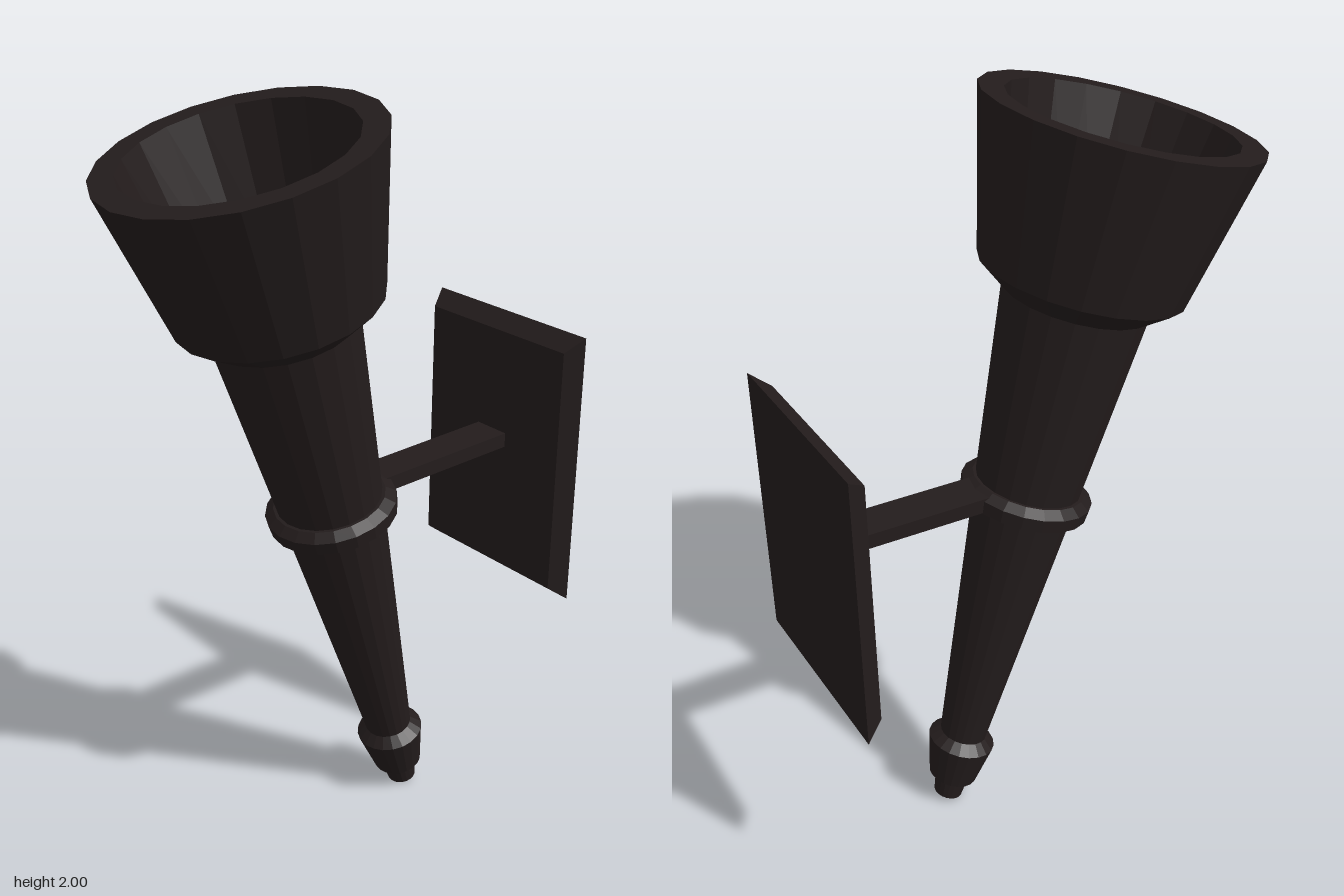
import * as THREE from 'three';

const SIDES = 20;
const TILT = 0.268;

export function createModel() {
  const model = new THREE.Group();
  model.name = 'wallTorch';
  const iron = new THREE.MeshStandardMaterial({ color: 0x231c1c, flatShading: true });

  function add(parent, name, geometry) {
    const mesh = new THREE.Mesh(geometry, iron);
    mesh.name = name;
    parent.add(mesh);
    return mesh;
  }
  // Profiles are [radius, height along the torch axis], running up the outside
  const turned = (profile) =>
    new THREE.LatheGeometry(profile.map(([r, t]) => new THREE.Vector2(r, t)), SIDES);

  // Torch leaning forward from its tip, slightly wider than deep
  const torch = new THREE.Group();
  torch.name = 'torch';
  torch.position.set(0, 0.012, -0.248);
  torch.rotation.x = TILT;
  torch.scale.x = 1.05;
  model.add(torch);

  add(torch, 'tip', turned([[0, 0], [0.039, 0], [0.048, 0.07], [0, 0.07]]));
  add(torch, 'endCap', turned([[0, 0.065], [0.066, 0.065], [0.091, 0.187], [0.063, 0.212], [0, 0.212]]));
  add(torch, 'shaft', turned([[0.063, 0.205], [0.184, 1.525]]));
  add(torch, 'collar', turned([[0.12, 0.955], [0.166, 0.955], [0.17, 0.99], [0.145, 1.008], [0.13, 1.008]]));
  // Hollow cup with a thick rim and flat floor
  add(torch, 'cup', turned([
    [0, 1.515], [0.183, 1.515], [0.256, 1.573], [0.34, 1.967],
    [0.278, 1.967], [0.207, 1.63], [0, 1.63],
  ]));

  // Flat arm rising slightly towards the wall
  const arm = add(model, 'arm', new THREE.BoxGeometry(0.106, 0.04, 0.46));
  arm.position.set(0, 1.003, -0.33);
  arm.rotation.x = 0.037;

  // Wall plate with bevelled edges: the front face is narrower than the back
  const plate = new THREE.BoxGeometry(0.55, 0.76, 0.05);
  const p = plate.attributes.position;
  for (let i = 0; i < p.count; i++) {
    if (p.getZ(i) > 0) {
      p.setX(i, Math.sign(p.getX(i)) * 0.248);
      p.setY(i, Math.sign(p.getY(i)) * 0.342);
    }
  }
  plate.computeVertexNormals();
  add(model, 'wallPlate', plate).position.set(0, 0.975, -0.575);

  return model;
}
